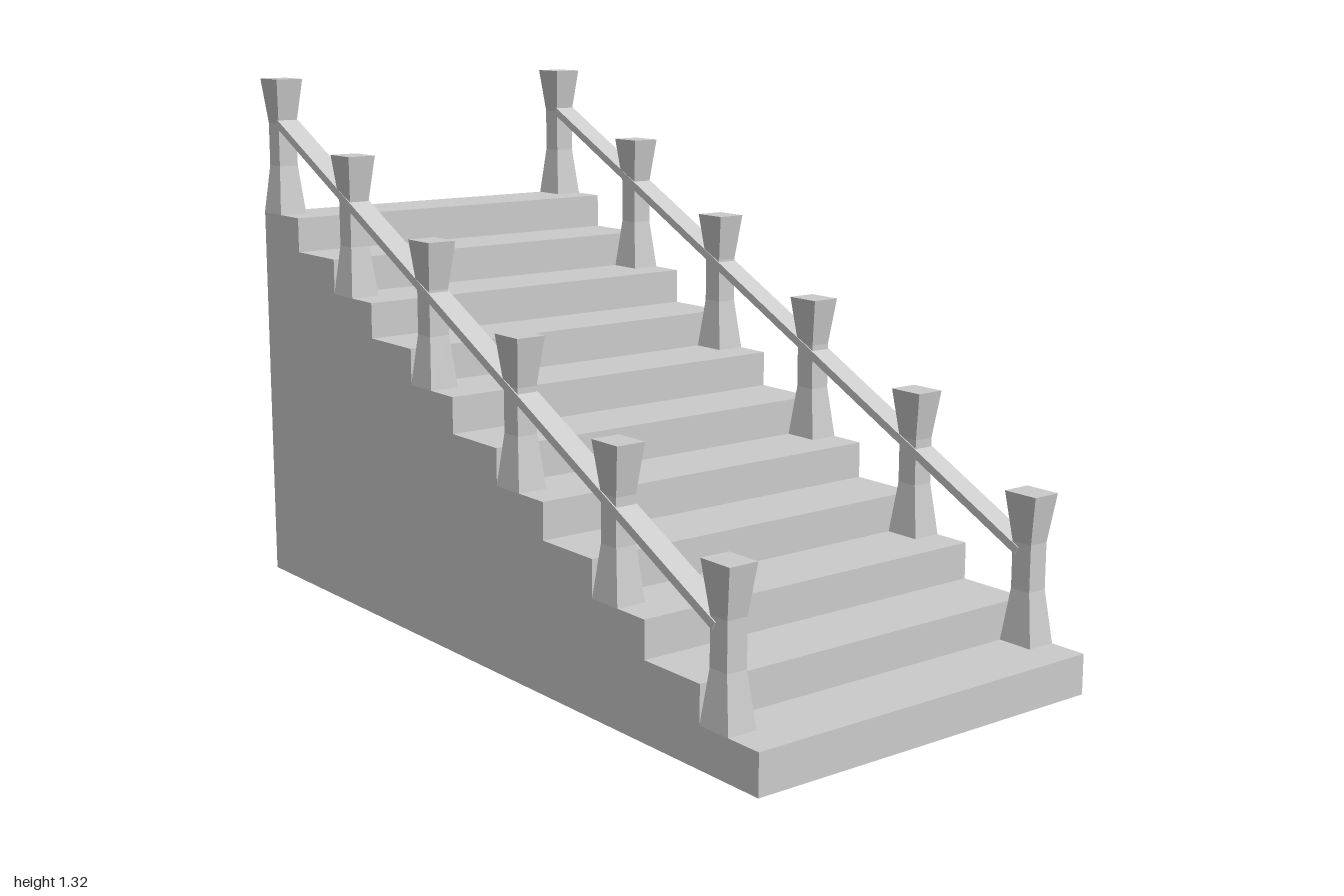
import * as THREE from 'three';

const STEPS = 11, DEPTH = 2 / STEPS, FIRST = 0.095, RISE = 0.0877, WIDTH = 0.957;
const POSTS = 6, POST_H = 0.35, POST_X = 0.442;
const material = new THREE.MeshStandardMaterial({ color: 0xcccccc, flatShading: true });

function add(parent, geometry, name) {
  const mesh = new THREE.Mesh(geometry, material);
  mesh.name = name;
  parent.add(mesh);
  return mesh;
}

// Solid stepped block: side profile (u = -z, v = y) extruded across the width
function stairGeometry() {
  const s = new THREE.Shape();
  s.moveTo(-1, 0);
  for (let i = 0; i < STEPS; i++) {
    const y = FIRST + i * RISE;
    s.lineTo(-1 + i * DEPTH, y);
    s.lineTo(-1 + (i + 1) * DEPTH, y);
  }
  s.lineTo(1, 0);
  const g = new THREE.ExtrudeGeometry(s, { depth: WIDTH, bevelEnabled: false });
  g.translate(0, 0, -WIDTH / 2);
  g.rotateY(Math.PI / 2);
  return g;
}

// Square post, flared at foot and head: each row is height, half x, half z
function postGeometry() {
  const rows = [[0, 0.037, 0.045], [0.125, 0.026, 0.027], [0.235, 0.026, 0.027], [POST_H, 0.037, 0.045]];
  const g = new THREE.BoxGeometry(2, 1, 2, 1, rows.length - 1, 1);
  const p = g.attributes.position;
  for (let i = 0; i < p.count; i++) {
    const [y, hx, hz] = rows[Math.round((p.getY(i) + 0.5) * (rows.length - 1))];
    p.setXYZ(i, p.getX(i) * hx, y, p.getZ(i) * hz);
  }
  g.computeVertexNormals();
  return g;
}

export function createModel() {
  const model = new THREE.Group();
  model.name = 'staircase';
  add(model, stairGeometry(), 'steps');

  const postGeo = postGeometry();

  // Sloping rail between the first and last posts
  const a = new THREE.Vector3(0, 0.31, 0.85), b = new THREE.Vector3(0, 1.209, -0.935);
  const railGeo = new THREE.BoxGeometry(0.058, 0.02, a.distanceTo(b));
  const slope = Math.atan2(b.y - a.y, a.z - b.z);

  for (const side of [1, -1]) {
    const balustrade = new THREE.Group();
    balustrade.name = side > 0 ? 'leftBalustrade' : 'rightBalustrade';
    balustrade.position.x = side * POST_X;
    model.add(balustrade);

    // One post on every second step
    for (let i = 0; i < POSTS; i++) {
      const post = add(balustrade, postGeo, 'post');
      post.position.set(0, FIRST + 2 * i * RISE, 0.863 - 2 * i * DEPTH);
    }

    const rail = add(balustrade, railGeo, 'handrail');
    rail.position.copy(a).add(b).multiplyScalar(0.5);
    rail.rotation.x = slope;
  }
  return model;
}
